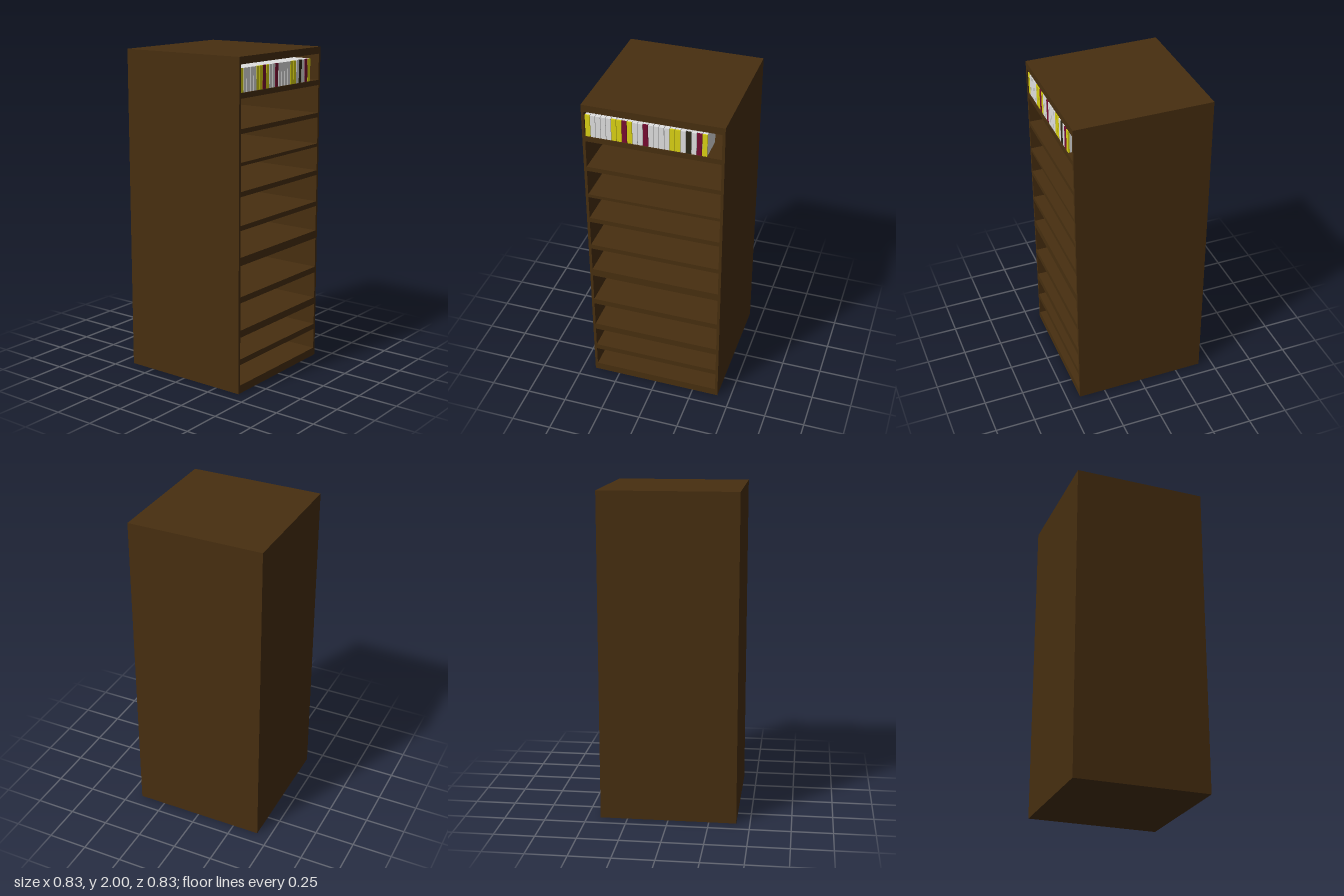
import * as THREE from 'three';

const mat = (name, color) => {
  const m = new THREE.MeshStandardMaterial({ color });
  m.name = name;
  return m;
};

// Box given by its minimum and maximum corners
function box(name, material, [x0, y0, z0], [x1, y1, z1]) {
  const mesh = new THREE.Mesh(new THREE.BoxGeometry(x1 - x0, y1 - y0, z1 - z0), material);
  mesh.position.set((x0 + x1) / 2, (y0 + y1) / 2, (z0 + z1) / 2);
  mesh.name = name;
  return mesh;
}

export function createModel() {
  const wood = mat('dark wood', 0x482f10);
  const covers = {
    y: mat('yellow cover', 0xdcd414),
    w: mat('white paper', 0xe2e2e2),
    r: mat('maroon cover', 0x7a0c32),
    k: mat('dark cover', 0x2c2816),
  };
  const model = new THREE.Group();
  model.name = 'bookcase';
  const H = 0.417, IN = 0.4; // outer half width, inner half width

  // Case: two side panels and a back, open towards +x
  for (const s of [-1, 1]) {
    const z = [s * IN, s * H].sort((a, b) => a - b);
    model.add(box(s > 0 ? 'frontPanel' : 'rearPanel', wood, [-H, 0, z[0]], [H, 2, z[1]]));
  }
  model.add(box('backPanel', wood, [-H, 0, -IN], [-IN, 2, IN]));

  // Horizontal boards: base, shelves and top, as [bottom, top]
  const boards = [
    [0, 0.05], [0.18, 0.215], [0.35, 0.394], [0.563, 0.6], [0.79, 0.84], [1.0, 1.03],
    [1.2, 1.23], [1.38, 1.4], [1.565, 1.593], [1.765, 1.797], [1.957, 2],
  ];
  boards.forEach(([y0, y1], i) => {
    const name = i === 0 ? 'base' : i === boards.length - 1 ? 'top' : 'shelf' + i;
    model.add(box(name, wood, [-IN, y0, -IN], [H, y1, IN]));
  });

  // Row of books on the top shelf, each a page block with a coloured spine
  const books = new THREE.Group();
  books.name = 'books';
  const pitch = 0.0311, width = 0.028;
  [...'ywwwwyyrywwrwwwwyywkwry'].forEach((c, i) => {
    const z1 = 0.398 - i * pitch, z0 = z1 - width;
    const book = new THREE.Group();
    book.name = 'book' + (i + 1);
    book.add(box('pages', covers.w, [0.25, 1.797, z0], [0.402, 1.935, z1]));
    book.add(box('spine', covers[c], [0.402, 1.797, z0], [0.411, 1.935, z1]));
    books.add(book);
  });
  model.add(books);
  return model;
}
